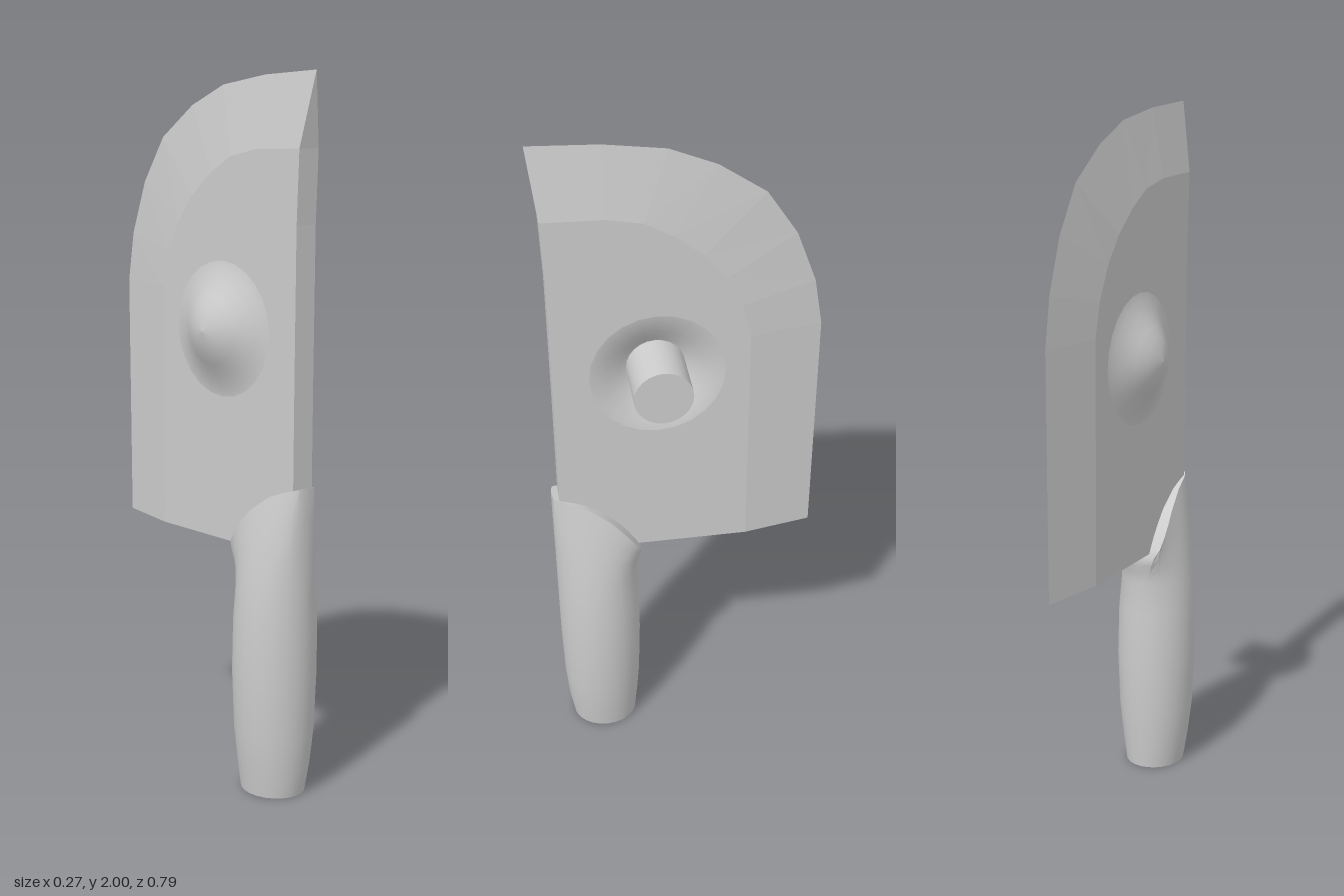
import * as THREE from 'three';
import { mergeVertices, toCreasedNormals } from 'three/addons/utils/BufferGeometryUtils.js';

const CX = -0.016;            // centre plane of the blade
const HALF = 0.035;           // half thickness of the blade
const HUB = { z: 0.067, y: 1.3, r: 0.19 };

// Cutting edge and the matching inner line of the bevel, as [z, y]
const edge = [[0.393, 2], [0.2, 1.99], [0.03, 1.965], [-0.1, 1.91], [-0.23, 1.82],
  [-0.315, 1.69], [-0.37, 1.54], [-0.393, 1.4], [-0.388, 0.7]];
const bevel = [[0.368, 1.8], [0.2, 1.795], [0.1, 1.775], [0.02, 1.73], [-0.06, 1.665],
  [-0.12, 1.59], [-0.165, 1.5], [-0.19, 1.4], [-0.19, 0.7]];
const spine = [[0.355, 0.7], [0.357, 1.2], [0.36, 1.6], [0.368, 1.8]];

const grey = new THREE.MeshStandardMaterial({ color: 0xcccccc });
grey.name = 'grey';

function add(parent, name, geometry) {
  const mesh = new THREE.Mesh(geometry, grey);
  mesh.name = name;
  parent.add(mesh);
  return mesh;
}

// Flat-faced geometry from a list of quads or triangles
function facets(faces) {
  const pos = [];
  for (const f of faces) {
    for (let i = 1; i < f.length - 1; i++) pos.push(...f[0], ...f[i], ...f[i + 1]);
  }
  const g = new THREE.BufferGeometry();
  g.setAttribute('position', new THREE.Float32BufferAttribute(pos, 3));
  g.computeVertexNormals();
  return g;
}

const at = (p, s) => [CX + s * HALF, p[1], p[0]];

// Flat cheek of the blade with a round opening for the dent or bump
function cheek(s) {
  const flip = (p) => new THREE.Vector2(-s * p[0], p[1]);
  const shape = new THREE.Shape([...spine.slice(0, 3), ...bevel].map(flip));
  const hole = [];
  for (let i = 0; i < 24; i++) {
    const a = (i / 24) * Math.PI * 2;
    hole.push(flip([HUB.z + HUB.r * Math.cos(a), HUB.y + HUB.r * Math.sin(a)]));
  }
  shape.holes.push(new THREE.Path(hole));
  return new THREE.ShapeGeometry(shape).rotateY(s * Math.PI / 2).translate(CX + s * HALF, 0, 0);
}

// Pushed-in metal: a bump on one side, the same form as a dent on the other
function pressed(s) {
  const pts = [[HUB.r, 0], [0.165, 0.005], [0.128, 0.021], [0.095, 0.04], [0.065, 0.058],
    [0.03, 0.07], [0, 0.075]].map((p) => new THREE.Vector2(...p));
  if (s > 0) pts.reverse();
  return new THREE.LatheGeometry(pts, 24).rotateZ(Math.PI / 2)
    .translate(CX + s * HALF, HUB.y, HUB.z);
}

function makeBlade() {
  const blade = new THREE.Group();
  blade.name = 'blade';
  const bevels = [];
  for (let i = 0; i < edge.length - 1; i++) {
    for (const s of [1, -1]) {
      const f = [at(bevel[i], s), at(bevel[i + 1], s), at(edge[i + 1], 0), at(edge[i], 0)];
      // split so that both triangles face outward
      bevels.push(s > 0 ? f : f.reverse());
    }
  }
  add(blade, 'bevels', facets(bevels));

  const back = [];
  for (let i = 0; i < spine.length - 1; i++) {
    back.push([at(spine[i], -1), at(spine[i], 1), at(spine[i + 1], 1), at(spine[i + 1], -1)]);
  }
  back.push([at(spine[3], -1), at(spine[3], 1), at(edge[0], 0)]);
  add(blade, 'spine', facets(back));

  const low = bevel[bevel.length - 1], end = edge[edge.length - 1];
  add(blade, 'heel', facets([
    [at(spine[0], 1), at(spine[0], -1), at(low, -1), at(low, 1)],
    [at(low, 1), at(low, -1), at(end, 0)],
  ]));
  for (const s of [1, -1]) {
    const side = s > 0 ? 'left' : 'right';
    add(blade, side + 'Cheek', cheek(s));
    add(blade, s > 0 ? 'leftDent' : 'rightBump', pressed(s));
  }
  return blade;
}

// Linear lookup in a table of [key, value]
function lookup(table, k) {
  for (let i = 1; i < table.length; i++) {
    if (k <= table[i][0]) {
      const [a, b] = [table[i - 1], table[i]];
      return THREE.MathUtils.lerp(a[1], b[1], Math.max(0, (k - a[0]) / (b[0] - a[0])));
    }
  }
  return table[table.length - 1][1];
}

// Swelling grip whose top is cut along a curve
function makeHandle() {
  const N = 24, START = 0.6;
  const width = [[0, 0.086], [0.08, 0.098], [0.18, 0.11], [0.35, 0.117], [0.5, 0.114],
    [0.6, 0.105], [0.7, 0.09], [0.8, 0.07], [0.87, 0.052], [0.9, 0.047]];
  const top = [[0.12, 0.68], [0.14, 0.72], [0.17, 0.765], [0.22, 0.82], [0.29, 0.868], [0.377, 0.896]];
  // level, front z, rear z, cut amount
  const rings = [[0, 0.342, 0.148, 0], [0.08, 0.355, 0.14, 0], [0.18, 0.364, 0.132, 0],
    [0.35, 0.37, 0.127, 0], [0.5, 0.372, 0.129, 0], [0.6, 0.373, 0.133, 0],
    [0.6, 0.374, 0.13, 0.33], [0.6, 0.376, 0.122, 0.7], [0.6, 0.377, 0.12, 1]];
  const pts = rings.map(([level, zf, zr, cut]) => {
    const ring = [];
    for (let k = 0; k < N; k++) {
      const a = (k / N) * Math.PI * 2;
      const z = (zf + zr) / 2 + Math.cos(a) * (zf - zr) / 2;
      const y = level + cut * (lookup(top, z) - START);
      const sn = k % (N / 2) === 0 ? 0 : Math.sin(a);
      const x = Math.sign(sn) * Math.pow(Math.abs(sn), 1 - 0.6 * cut) * lookup(width, y);
      ring.push([CX + x, y, z]);
    }
    return ring;
  });
  const faces = [];
  for (let r = 0; r < pts.length - 1; r++) {
    for (let k = 0; k < N; k++) {
      const n = (k + 1) % N;
      faces.push([pts[r][k], pts[r][n], pts[r + 1][n], pts[r + 1][k]]);
    }
  }
  // caps run as strips from side to side
  const last = pts[pts.length - 1];
  for (let k = 0; k < N / 2; k++) {
    const ids = [k, k + 1, N - k - 1, (N - k) % N];
    faces.push(ids.map((i) => last[i]));
    faces.push(ids.map((i) => pts[0][i]).reverse());
  }
  const g = facets(faces);
  g.deleteAttribute('normal');
  return toCreasedNormals(mergeVertices(g), 0.75);
}

export function createModel() {
  const model = new THREE.Group();
  model.name = 'cleaver';
  model.add(makeBlade());
  add(model, 'handle', makeHandle());

  // Peg seated in the dent
  const x0 = -0.07, x1 = 0.133;
  const peg = new THREE.CylinderGeometry(0.082, 0.082, x1 - x0, 24).rotateZ(-Math.PI / 2);
  add(model, 'peg', peg).position.set((x0 + x1) / 2, HUB.y, HUB.z);
  return model;
}
